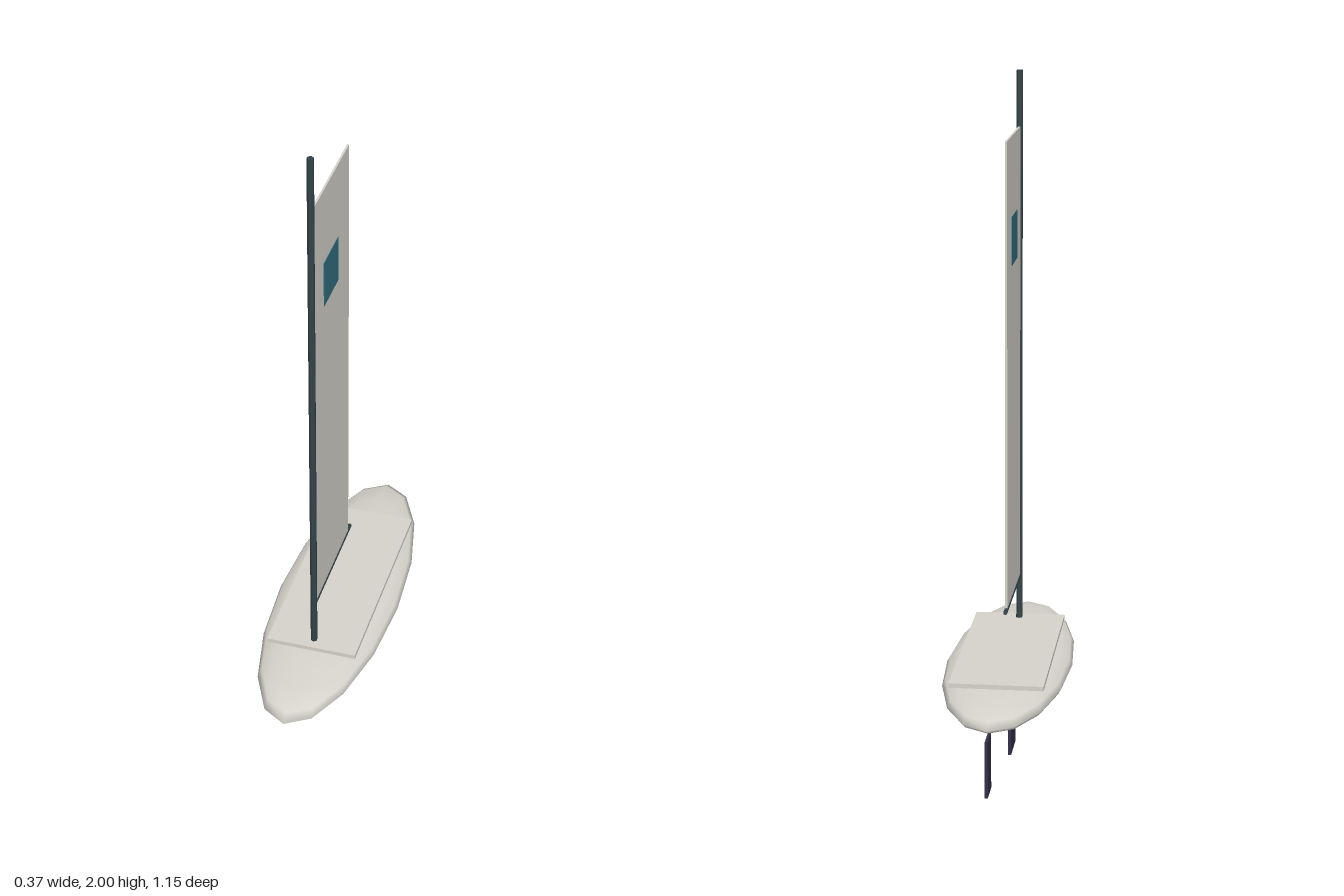
import * as THREE from 'three';

function paint(name, color) {
  const m = new THREE.MeshStandardMaterial({ color });
  m.name = name;
  return m;
}

export function createModel() {
  const model = new THREE.Group();
  model.name = 'sailboard';

  const cream = paint('cream', 0xd6d4cc);
  const slate = paint('slate', 0x35454b);
  const teal = paint('teal', 0x327080);
  const navy = paint('navy', 0x312f49);

  function add(name, geometry, material, x, y, z) {
    const mesh = new THREE.Mesh(geometry, material);
    mesh.name = name;
    mesh.position.set(x, y, z);
    model.add(mesh);
    return mesh;
  }

  // Upright plate or slab given by its y and z ranges
  function slab(name, material, width, y0, y1, z0, z1) {
    return add(name, new THREE.BoxGeometry(width, y1 - y0, z1 - z0), material,
      0, (y0 + y1) / 2, (z0 + z1) / 2);
  }

  // Hull: flattened ellipsoid, smooth, with a 16-sided outline
  const hull = new THREE.SphereGeometry(1, 16, 10);
  hull.scale(0.185, 0.052, 0.57);
  add('hull', hull, cream, 0, 0.288, 0.004);

  // Deck on top of the hull
  slab('deck', cream, 0.27, 0.332, 0.345, -0.35, 0.3);

  // Mast and boom
  add('mast', new THREE.CylinderGeometry(0.01, 0.01, 1.66, 6), slate, 0, 1.17, 0.265);
  const boom = add('boom', new THREE.CylinderGeometry(0.006, 0.006, 0.38, 6), slate, 0, 0.48, 0.075);
  boom.rotation.x = Math.PI / 2;

  // Sail with a square patch showing on both sides
  slab('sail', cream, 0.006, 0.484, 1.838, -0.086, 0.26);
  slab('sailPatch', teal, 0.0095, 1.47, 1.61, 0.023, 0.16);

  // Fins below the hull
  slab('keel', navy, 0.009, 0, 0.217, 0, 0.122);
  slab('rudder', navy, 0.009, 0.098, 0.26, -0.577, -0.497);

  return model;
}
